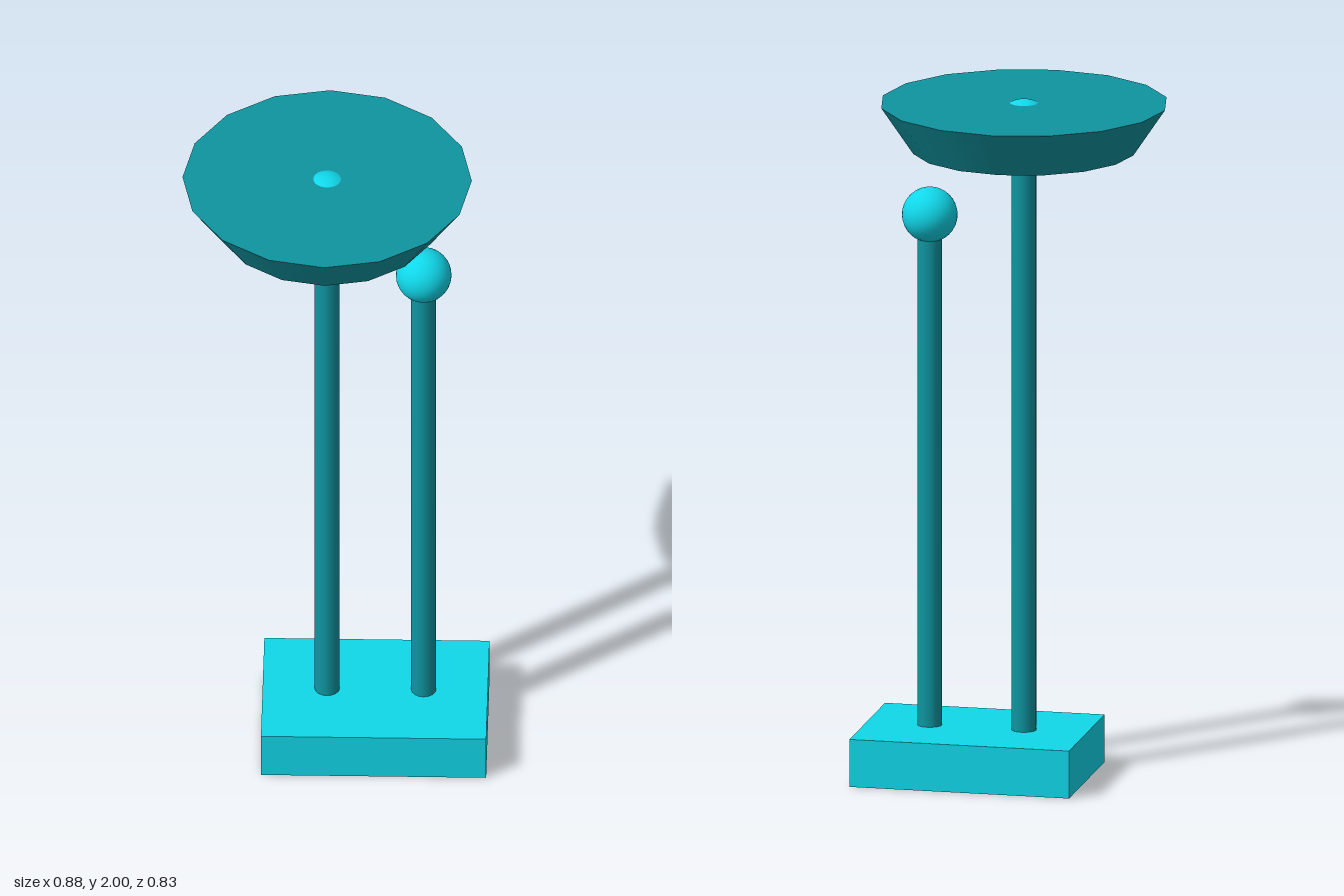
import * as THREE from 'three';

export function createModel() {
  const group = new THREE.Group();
  const bright = new THREE.MeshStandardMaterial({ color: 0x10d8ea });
  const teal = new THREE.MeshStandardMaterial({ color: 0x0f95a0 });

  const add = (name, geometry, material, x, y) => {
    const mesh = new THREE.Mesh(geometry, material);
    mesh.name = name;
    mesh.position.set(x, y, 0);
    group.add(mesh);
  };

  // Base block
  const baseHeight = 0.14;
  add('base', new THREE.BoxGeometry(0.646, baseHeight, 0.46), bright, 0.113, baseHeight / 2);

  // Two posts, each with a ball centred on its top end
  const posts = [
    { name: 'tall', x: -0.025, top: 1.92 },
    { name: 'short', x: 0.252, top: 1.645 },
  ];
  for (const { name, x, top } of posts) {
    const length = top - baseHeight;
    add(name + 'Post', new THREE.CylinderGeometry(0.036, 0.036, length, 16), teal, x, baseHeight + length / 2);
    add(name + 'PostBall', new THREE.SphereGeometry(0.08, 32, 16), bright, x, top);
  }

  // Flared sixteen-sided dish around the ball of the tall post
  add('dish', new THREE.CylinderGeometry(0.415, 0.322, 0.138, 16), teal, -0.025, 1.92);

  return group;
}
